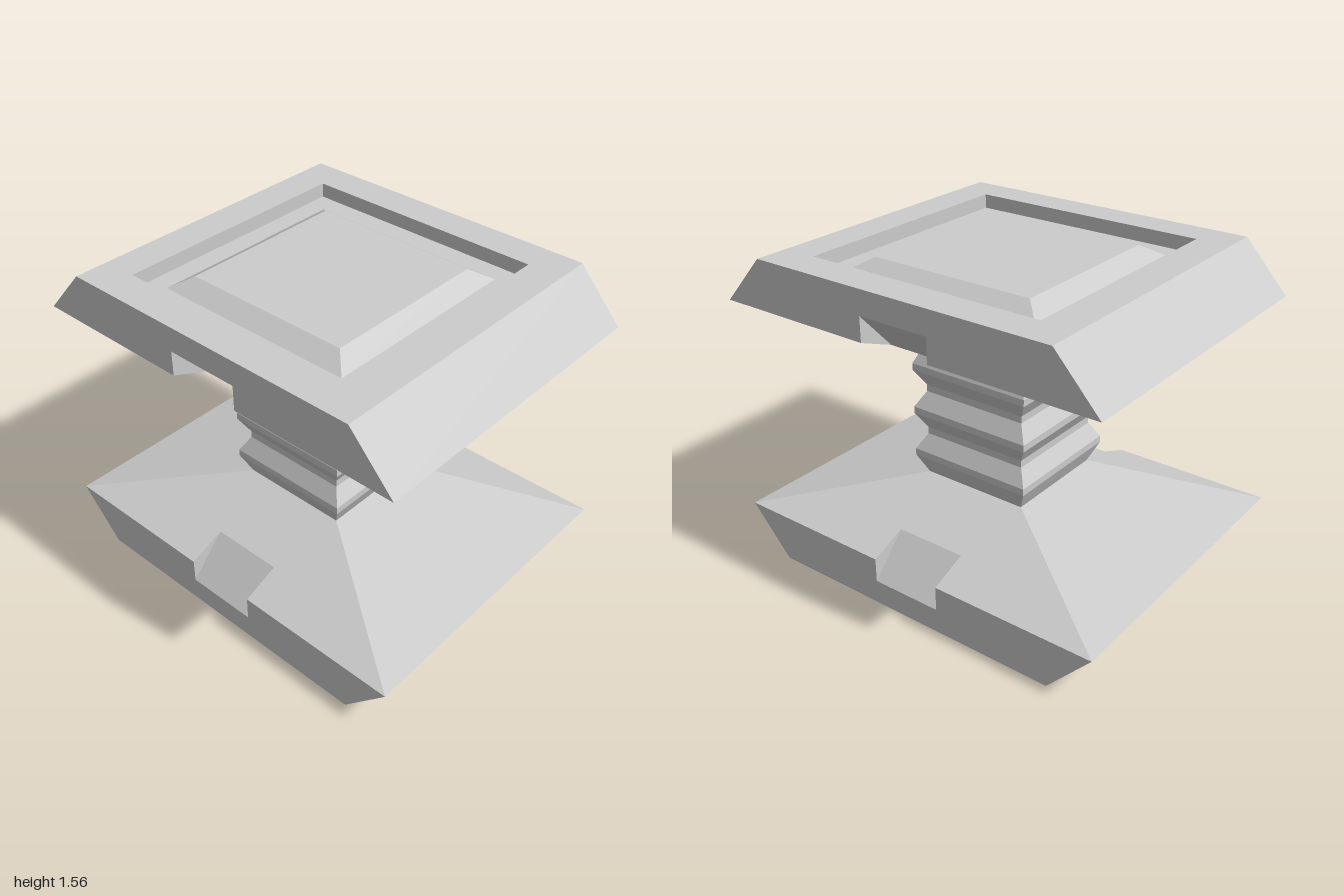
import * as THREE from 'three';

const material = new THREE.MeshStandardMaterial({ color: 0xcccccc, flatShading: true });

// Mesh from convex polygons, each listed counter-clockwise from outside
function meshFromFaces(name, faces) {
  const pos = [];
  for (const f of faces) {
    for (let i = 1; i < f.length - 1; i++) pos.push(...f[0], ...f[i], ...f[i + 1]);
  }
  const g = new THREE.BufferGeometry();
  g.setAttribute('position', new THREE.Float32BufferAttribute(pos, 3));
  g.computeVertexNormals();
  const mesh = new THREE.Mesh(g, material);
  mesh.name = name;
  return mesh;
}

// Half turn about the vertical axis
const halfTurn = (face) => face.map(([x, y, z]) => [-x, y, -z]);
const withOpposite = (faces) => [...faces, ...faces.map(halfTurn)];

// Square rings swept through a [half width, height] profile
function squareLoft(profile) {
  const faces = [];
  for (let i = 0; i < profile.length - 1; i++) {
    const [a, y0] = profile[i], [b, y1] = profile[i + 1];
    let face = [[-a, y0, a], [a, y0, a], [b, y1, b], [-b, y1, b]];
    for (let k = 0; k < 4; k++) {
      faces.push(face);
      face = face.map(([x, y, z]) => [z, y, -x]);
    }
  }
  return faces;
}

// Base block: bevelled ends, notched sides, roof tapering to the column
function createBlock(name) {
  const w = 0.78, d = 1, h = 0.24, neck = 0.275, top = 0.44;
  const n = 0.18, nx = 0.6, ny = h + (w - nx) * (top - h) / (w - neck), nb = 0.12;

  const ends = [
    [[-w, 0, w], [w, 0, w], [w, h, d], [-w, h, d]],
    [[-w, h, d], [w, h, d], [neck, top, neck], [-neck, top, neck]],
  ];
  const sides = [
    // upright side around the notch
    [[w, 0, w], [w, 0, n], [w, h, n], [w, h, d]],
    [[w, 0, n], [w, 0, -n], [w, nb, -n], [w, nb, n]],
    [[w, 0, -n], [w, 0, -w], [w, h, -d], [w, h, -n]],
    // sloping roof around the notch
    [[w, h, d], [w, h, n], [neck, top, n], [neck, top, neck]],
    [[nx, ny, n], [nx, ny, -n], [neck, top, -n], [neck, top, n]],
    [[w, h, -n], [w, h, -d], [neck, top, -neck], [neck, top, -n]],
    // notch floor and cheeks
    [[w, nb, n], [w, nb, -n], [nx, ny, -n], [nx, ny, n]],
    [[w, nb, n], [nx, ny, n], [w, h, n]],
    [[w, nb, -n], [w, h, -n], [nx, ny, -n]],
  ];
  // recessed panel with a raised bevelled centre
  const panel = squareLoft([[0, 0.015], [0.42, 0.015], [0.51, 0.07], [0.61, 0.07], [0.61, 0], [w, 0]]);

  const block = new THREE.Group();
  block.name = name;
  block.add(
    meshFromFaces('blockBody', withOpposite([...ends, ...sides])),
    meshFromFaces('recessedPanel', panel),
  );
  return block;
}

export function createModel() {
  const model = new THREE.Group();
  model.name = 'pedestal';

  const lower = createBlock('lowerBlock');
  const upper = createBlock('upperBlock');
  upper.rotation.x = Math.PI;
  upper.position.y = 1.56;

  // Ribbed square column
  const profile = [[0.275, 0.44]];
  for (const y of [0.555, 0.78, 1.005]) {
    if (y > 0.6) profile.push([0.275, y - 0.095]);
    profile.push([0.32, y - 0.017], [0.32, y + 0.017]);
    if (y < 1) profile.push([0.275, y + 0.095]);
  }
  profile.push([0.275, 1.12]);

  model.add(lower, meshFromFaces('ribbedColumn', squareLoft(profile)), upper);
  return model;
}
